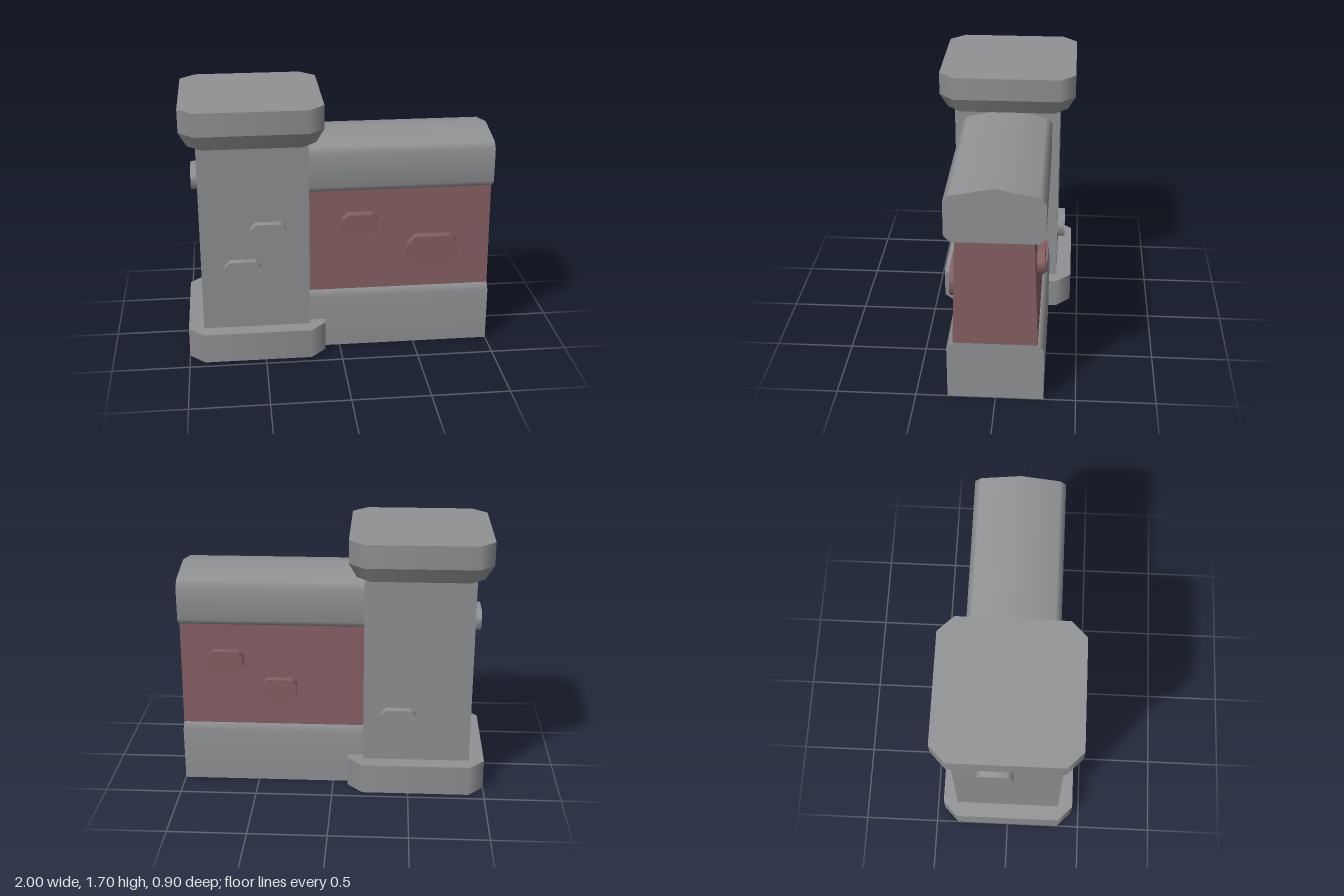
import * as THREE from 'three';

const stone = new THREE.MeshStandardMaterial({ color: 0x919294 });
stone.name = 'grey stone';
const brickRed = new THREE.MeshStandardMaterial({ color: 0x865f63 });
brickRed.name = 'red brick';

// Rectangle with cut corners, counter-clockwise
function cutRect(w, h, c) {
  const x = w / 2, y = h / 2;
  return [[x, c - y], [x, y - c], [x - c, y], [c - x, y], [-x, y - c], [-x, c - y], [c - x, -y], [x - c, -y]];
}

// Convex prism along z from outline a (at z0) to outline b (at z1).
// Shallow side edges are smoothed by face size, steep ones stay sharp.
function prism(a, z0, z1, b = a) {
  const pos = [], nor = [], n = a.length;
  const A = a.map(p => new THREE.Vector3(p[0], p[1], z0));
  const B = b.map(p => new THREE.Vector3(p[0], p[1], z1));
  const faceNormals = A.map((p, i) => {
    const j = (i + 1) % n;
    return B[j].clone().sub(p).cross(B[i].clone().sub(A[j]));
  });
  const blend = (i, k) => {
    const f = faceNormals[i], g = faceNormals[(k + n) % n];
    const out = f.clone();
    if (f.angleTo(g) < 0.9) out.add(g);
    return out.normalize();
  };
  const put = (p, m) => { pos.push(p.x, p.y, p.z); nor.push(m.x, m.y, m.z); };
  const front = new THREE.Vector3(0, 0, 1), back = new THREE.Vector3(0, 0, -1);
  for (let i = 0; i < n; i++) {
    const j = (i + 1) % n, s = blend(i, i - 1), e = blend(i, i + 1);
    put(A[i], s); put(A[j], e); put(B[j], e);
    put(A[i], s); put(B[j], e); put(B[i], s);
    if (i > 0 && i < n - 1) {
      [B[0], B[i], B[j]].forEach(p => put(p, front));
      [A[0], A[j], A[i]].forEach(p => put(p, back));
    }
  }
  const g = new THREE.BufferGeometry();
  g.setAttribute('position', new THREE.Float32BufferAttribute(pos, 3));
  g.setAttribute('normal', new THREE.Float32BufferAttribute(nor, 3));
  return g;
}

export function createModel() {
  const model = new THREE.Group();
  model.name = 'wallEndWithPillar';
  const add = (parent, name, geometry, material) => {
    const mesh = new THREE.Mesh(geometry, material);
    mesh.name = name;
    parent.add(mesh);
    return mesh;
  };

  // Pillar: square shaft, cut-corner foot and flared cap
  const pillar = new THREE.Group();
  pillar.name = 'pillar';
  pillar.position.x = -0.55;
  model.add(pillar);
  const slab = cutRect(0.9, 0.9, 0.1);
  const flare = slab.map(([x, y]) => [x * 0.8 / 0.9, y * 0.8 / 0.9]);
  const upright = g => g.rotateX(-Math.PI / 2);
  add(pillar, 'pillarFoot', upright(prism(slab, 0, 0.2)), stone);
  add(pillar, 'pillarShaft', new THREE.BoxGeometry(0.7, 1.25, 0.7).translate(0, 0.825, 0), stone);
  add(pillar, 'pillarCapFlare', upright(prism(flare, 1.45, 1.55, slab)), stone);
  add(pillar, 'pillarCap', upright(prism(slab, 1.55, 1.7)), stone);

  // Wall: half outlines (z, y) listed upward, mirrored and run along x
  const wall = new THREE.Group();
  wall.name = 'wall';
  model.add(wall);
  const run = half => {
    const mirrored = half.filter(p => p[0] > 0).reverse().map(([z, y]) => [-z, y]);
    return prism([...half, ...mirrored], -0.2, 1).rotateY(Math.PI / 2);
  };
  add(wall, 'wallPlinth', run([[0.3, 0], [0.3, 0.36], [0.26, 0.4]]), stone);
  add(wall, 'wallPanel', run([[0.26, 0.4], [0.235, 1.1]]), brickRed);
  add(wall, 'wallCoping', run([[0.26, 1.1], [0.3, 1.14], [0.3, 1.36], [0.26, 1.4], [0, 1.45]]), stone);

  // Protruding bricks: [name, material, x, y, z of outer face, turn, width, height]
  const bricks = [
    ['frontPillarBrickUpper', stone, -0.465, 0.87, 0.4, 0],
    ['frontPillarBrickLower', stone, -0.635, 0.615, 0.4, 0],
    ['backPillarBrick', stone, -0.425, 0.505, -0.4, Math.PI],
    ['sidePillarBrick', stone, -0.95, 1.12, -0.075, -Math.PI / 2],
    ['frontWallBrickSmall', brickRed, 0.135, 0.87, 0.3, 0],
    ['frontWallBrickLarge', brickRed, 0.615, 0.67, 0.3, 0, 0.33, 0.2],
    ['backWallBrickUpper', brickRed, 0.705, 0.85, -0.29, Math.PI],
    ['backWallBrickLower', brickRed, 0.355, 0.66, -0.3, Math.PI],
  ];
  for (const [name, material, x, y, z, turn, w = 0.23, h = 0.14] of bricks) {
    const mesh = add(model, name, prism(cutRect(w, h, h * 0.26), -0.07, 0), material);
    mesh.position.set(x, y, z);
    mesh.rotation.y = turn;
  }
  return model;
}
